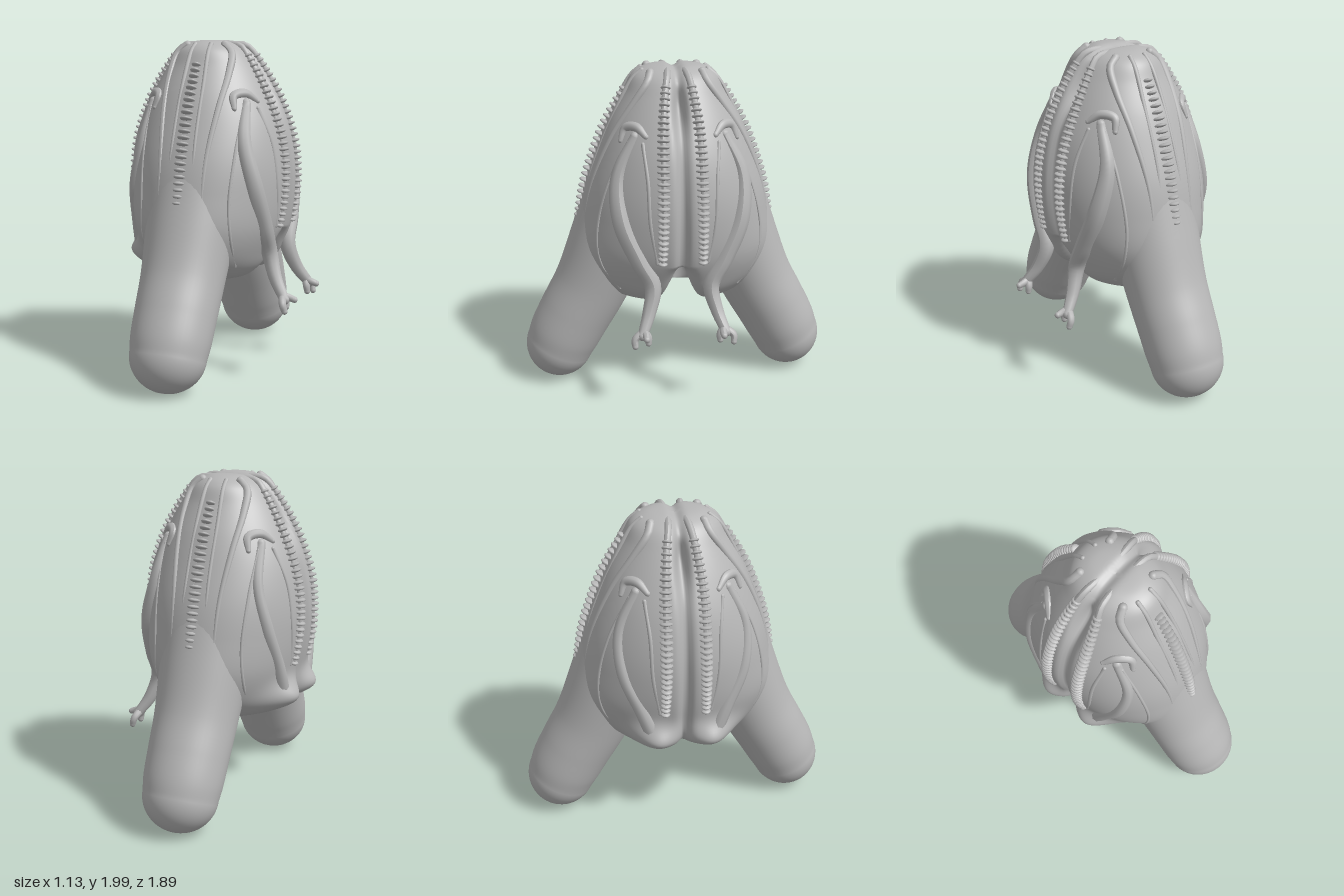
import * as THREE from 'three';
import { ParametricGeometry } from 'three/addons/geometries/ParametricGeometry.js';

const CX = -0.04; // body axis
const V = (x, y, z) => new THREE.Vector3(x, y, z);
const bell = (d, w) => Math.exp(-((d / w) ** 2));

// Body profile: half width in x, height, half depth in z
const profile = new THREE.CatmullRomCurve3([
  V(0, 2, 0), V(0.13, 1.985, 0.17), V(0.21, 1.94, 0.25), V(0.285, 1.84, 0.305), V(0.375, 1.68, 0.395),
  V(0.45, 1.5, 0.47), V(0.49, 1.3, 0.54), V(0.495, 1.12, 0.58), V(0.465, 0.9, 0.61), V(0.41, 0.75, 0.57),
  V(0.36, 0.65, 0.48), V(0.28, 0.585, 0.38), V(0.15, 0.59, 0.18), V(0, 0.62, 0),
]);
const samples = profile.getPoints(400);
const at = (y) => samples.find((p) => p.y <= y);

// Points on the body surface, for a given z on a flank or a given x offset on the front or back
function flank(side, z, y, lift = 0) {
  const p = at(y);
  return V(CX + side * (p.x * Math.sqrt(Math.max(0, 1 - (z / p.z) ** 2)) + lift), y, z);
}
function face(dx, y, s, lift = 0) {
  const p = at(y);
  return V(CX + dx, y, s * (p.z * Math.sqrt(Math.max(0, 1 - (dx / p.x) ** 2)) + lift));
}

export function createModel() {
  const group = new THREE.Group();
  const skin = new THREE.MeshStandardMaterial({ color: 0xb6b6b6 });
  skin.name = 'grey skin';

  function add(name, geometry, parent = group) {
    const mesh = new THREE.Mesh(geometry, skin);
    mesh.name = name;
    parent.add(mesh);
    return mesh;
  }

  // Tube with a radius that follows a rule along its length, rounded at both ends
  function limb(name, points, radius, segs = 40) {
    const part = new THREE.Group();
    part.name = name;
    group.add(part);
    const path = new THREE.CatmullRomCurve3(points);
    const geo = new THREE.TubeGeometry(path, segs, 1, 10);
    const pos = geo.attributes.position;
    const p = V(0, 0, 0);
    for (let i = 0; i < pos.count; i++) {
      const t = Math.floor(i / 11) / segs;
      const c = path.getPointAt(t);
      p.fromBufferAttribute(pos, i).sub(c).multiplyScalar(radius(t)).add(c);
      pos.setXYZ(i, p.x, p.y, p.z);
    }
    geo.computeVertexNormals();
    add(name + 'Skin', geo, part);
    for (const t of [0, 1]) {
      add(name + 'End', new THREE.SphereGeometry(radius(t), 10, 8), part).position.copy(path.getPointAt(t));
    }
  }

  // Body: lofted dome pinched into two halves, arched on the left, swollen at the foot of the right flank
  add('body', new ParametricGeometry((u, v, out) => {
    const p = profile.getPoint(v);
    const a = u * Math.PI * 2;
    const z = p.z * Math.sin(a);
    const pinch = 1 - bell(z, 0.035) * (0.09 + 0.25 * bell(p.y - 1.8, 0.12));
    const left = THREE.MathUtils.smoothstep(Math.cos(a), -0.3, 0.4);
    let y = p.y + Math.max(0, 0.86 - p.y) * 0.9 * bell(z, 0.08) * left;
    if (p.y > 1.85) y -= 0.025 * bell(z, 0.035) * Math.min(1, (p.y - 1.85) / 0.1);
    const swell = 0.13 * bell(y - 0.69, 0.1) * bell(Math.abs(z) - 0.17, 0.15)
      * THREE.MathUtils.smoothstep(-Math.cos(a), 0, 0.7) * Math.min(1, p.x / 0.3);
    out.set(CX + p.x * Math.cos(a) * pinch - swell, y, z);
  }, 192, 110));

  // Legs: tapered trunks leaning outward with round ends
  const spine = new THREE.CatmullRomCurve3([
    V(0.25, 1.3, 0.27), V(0.39, 0.92, 0.255), V(0.52, 0.62, 0.235), V(0.625, 0.43, 0.228),
    V(0.7, 0.29, 0.222), V(0.735, 0.213, 0.212),
  ]); // z, y, radius
  for (const s of [1, -1]) {
    const leg = add(s > 0 ? 'frontLeg' : 'backLeg', new ParametricGeometry((u, v, out) => {
      const t = Math.min(1, v / 0.7);
      const cap = Math.max(0, (v - 0.7) / 0.3) * Math.PI / 2;
      const p = spine.getPoint(t);
      const d = spine.getTangent(t);
      const len = Math.hypot(d.x, d.y);
      const dz = d.x / len, dy = d.y / len;
      const a = u * Math.PI * 2;
      const r = p.z * Math.cos(cap) * Math.sin(a);
      const end = p.z * Math.sin(cap);
      const wide = p.z * 1.06 * Math.cos(cap) * Math.cos(a);
      out.set(wide, p.y + dz * r + dy * end, p.x - dy * r + dz * end);
    }, 48, 60));
    leg.position.x = CX;
    if (s < 0) leg.rotation.y = Math.PI;
  }

  // Row of overlapping thin scales along a curve
  const scaleGeo = new THREE.SphereGeometry(1, 12, 6);
  function scales(name, points, count) {
    const row = new THREE.Group();
    row.name = name;
    group.add(row);
    const path = new THREE.CatmullRomCurve3(points);
    for (let i = 0; i < count; i++) {
      const t = i / (count - 1);
      const m = add('scale', scaleGeo, row);
      m.position.copy(path.getPointAt(t));
      m.quaternion.setFromUnitVectors(V(0, 1, 0), path.getTangentAt(t));
      const size = 0.75 + 0.25 * Math.sin(Math.PI * t);
      m.scale.set(0.04 * size, 0.012, 0.04 * size);
    }
  }

  for (const s of [1, -1]) {
    // Scales and long folds on the front and back
    const heights = [1.85, 1.65, 1.45, 1.25, 1.07];
    scales('faceCrest', heights.map((y) => face(0, y, s)), 23);
    for (const side of [1, -1]) {
      limb('browFold', [[0.12, 1.965], [0.17, 1.92], [0.185, 1.8], [0.17, 1.6], [0.14, 1.3], [0.13, 0.95]]
        .map(([x, y]) => face(side * x, y, s, -0.008)), (t) => 0.026 * (1 - 0.7 * t));
      limb('centreFold', [[0.05, 1.97], [0.055, 1.92], [0.065, 1.75], [0.07, 1.4], [0.08, 1]]
        .map(([x, y]) => face(side * x, y, s, -0.006)), (t) => 0.014 * (1 - 0.5 * t));

      // Flank crest with its base ridge running up to the crown
      const crest = [[0.075, 1.9], [0.09, 1.8], [0.105, 1.65], [0.112, 1.4], [0.115, 1.2], [0.117, 1.05], [0.12, 0.9]]
        .map(([z, y]) => flank(side, s * z, y));
      scales('flankCrest', crest, 31);
      limb('crestRidge', [V(CX, 1.965, s * 0.045), flank(side, s * 0.06, 1.96), ...crest],
        (t) => 0.022 - 0.01 * t);

      // Shoulder hook, flank vein and flank fold
      limb('shoulderHook', [[0.2, 1.64], [0.25, 1.685], [0.31, 1.67], [0.34, 1.6]]
        .map(([z, y]) => flank(side, s * z, y, -0.006)), (t) => 0.016 + 0.012 * Math.sin(Math.PI * t));
      limb('flankVein', [[0.3, 1.6], [0.42, 1.35], [0.49, 1.05], [0.47, 0.85], [0.36, 0.68]]
        .map(([z, y]) => flank(side, s * z, y, -0.004)), () => 0.01);
      limb('flankFold', [[0.22, 1.6], [0.2, 1.4], [0.19, 1.15], [0.15, 0.9]]
        .map(([z, y]) => flank(side, s * z, y, -0.005)), () => 0.012);

      // Arm: hugs the flank, hanging free only on the left
      const upper = [[0.26, 1.63], [0.36, 1.4], [0.35, 1.15], [0.25, 0.9]]
        .map(([z, y]) => flank(side, s * z, y, -0.02));
      if (side > 0) {
        limb('leftArm', [...upper, V(0.375, 0.74, s * 0.175), V(0.425, 0.59, s * 0.205), V(0.495, 0.48, s * 0.25)],
          (t) => 0.03 + 0.03 * Math.sin(Math.PI * t));
        for (const [x, y, z] of [[0.55, 0.48, 0.23], [0.51, 0.42, 0.295], [0.495, 0.43, 0.215]]) {
          limb('finger', [V(0.48, 0.5, s * 0.24), V((x + 0.485) / 2, (y + 0.5) / 2, s * z), V(x, y, s * z)],
            (t) => 0.026 - 0.007 * t, 10);
        }
      } else {
        limb('rightArm', [...upper, V(-0.45, 0.74, s * 0.19)], (t) => 0.03 + 0.02 * t);
      }
    }
  }
  return group;
}
